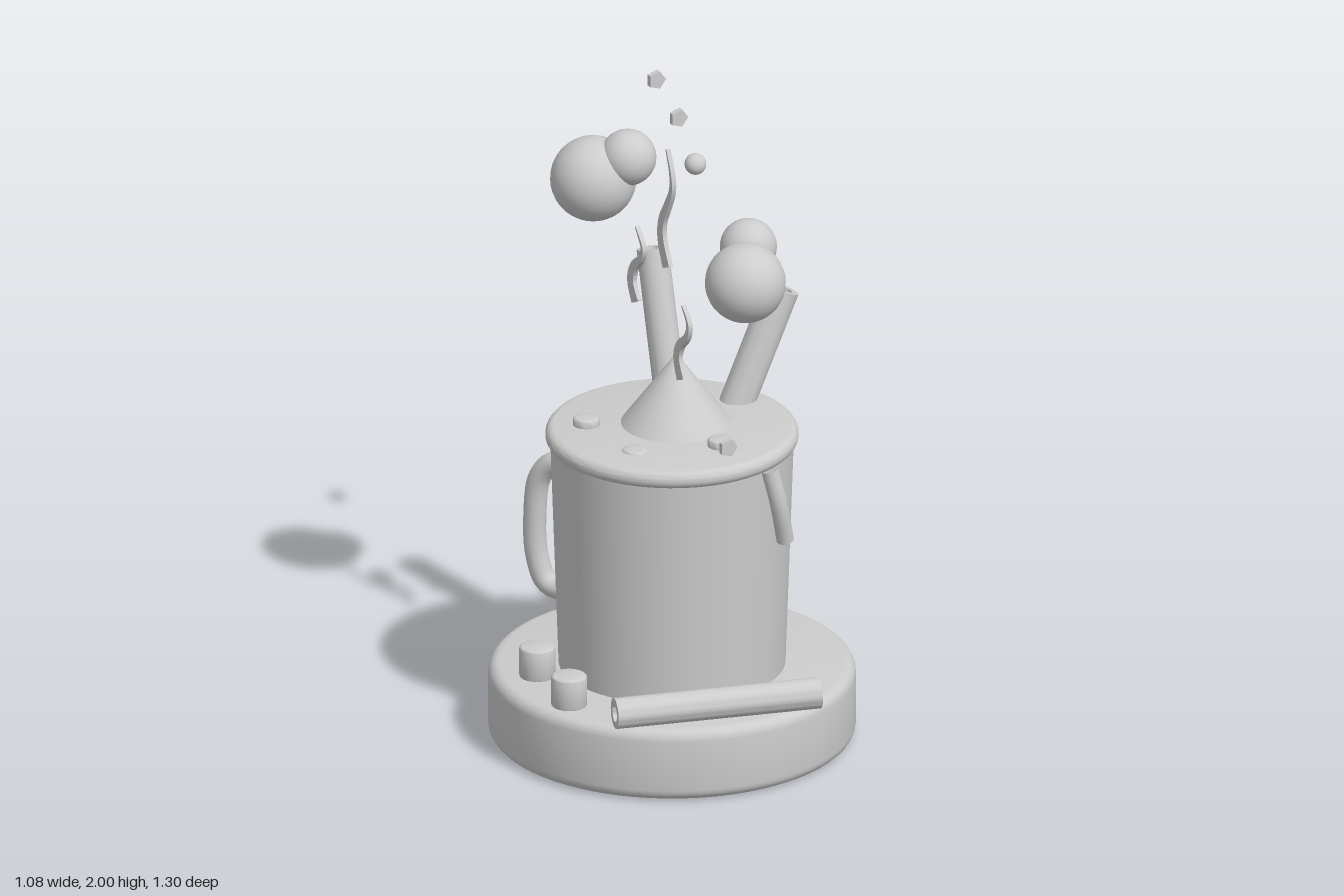
import * as THREE from 'three';
import { toCreasedNormals } from 'three/addons/utils/BufferGeometryUtils.js';

const V = (x, y, z) => new THREE.Vector3(x, y, z);

export function createModel() {
  const group = new THREE.Group();
  const clay = new THREE.MeshStandardMaterial({ color: 0xcccccc });
  clay.name = 'light grey clay';

  const add = (name, geometry, x = 0, y = 0, z = 0) => {
    const mesh = new THREE.Mesh(geometry, clay);
    mesh.name = name;
    mesh.position.set(x, y, z);
    group.add(mesh);
    return mesh;
  };

  // Solid of revolution with rounded top and bottom edges
  const roundedDisc = (r, y0, y1, bevel, sides = 64) => {
    const pts = [new THREE.Vector2(0, y0)];
    for (let i = 0; i <= 5; i++) {
      const a = -Math.PI / 2 + (i / 5) * Math.PI / 2;
      pts.push(new THREE.Vector2(r - bevel + bevel * Math.cos(a), y0 + bevel + bevel * Math.sin(a)));
    }
    for (let i = 0; i <= 5; i++) {
      const a = (i / 5) * Math.PI / 2;
      pts.push(new THREE.Vector2(r - bevel + bevel * Math.cos(a), y1 - bevel + bevel * Math.sin(a)));
    }
    pts.push(new THREE.Vector2(0, y1));
    return toCreasedNormals(new THREE.LatheGeometry(pts, sides), 0.6);
  };

  // Hollow stick between two points; gap opens a slot on its back side
  const stick = (name, from, to, r, inner, gap = 0) => {
    const s = new THREE.Shape();
    if (gap) {
      const innerGap = Math.asin(Math.min(0.95, Math.sin(gap) * r / inner));
      s.absarc(0, 0, r, gap, Math.PI * 2 - gap, false);
      s.absarc(0, 0, inner, Math.PI * 2 - innerGap, innerGap, true);
    } else {
      s.absarc(0, 0, r, 0, Math.PI * 2, false);
      s.holes.push(new THREE.Path().absarc(0, 0, inner, 0, Math.PI * 2, true));
    }
    const dir = to.clone().sub(from);
    const geo = new THREE.ExtrudeGeometry(s, { depth: dir.length(), bevelEnabled: false, curveSegments: 14 });
    dir.normalize();
    const u = V(0, 0, -1).addScaledVector(dir, dir.z).normalize();
    geo.applyMatrix4(new THREE.Matrix4().makeBasis(u, dir.clone().cross(u), dir));
    add(name, toCreasedNormals(geo, 0.6), from.x, from.y, from.z);
  };

  // Round plinth and mug
  add('base', roundedDisc(0.54, 0.005, 0.23, 0.035));
  add('mugBody', new THREE.CylinderGeometry(0.358, 0.333, 0.72, 64), 0, 0.585, 0);
  add('mugRim', roundedDisc(0.372, 0.925, 0.98, 0.026));

  // Handle, turned towards the back right
  const handlePath = [[0.31, 0.78], [0.39, 0.782], [0.44, 0.73], [0.458, 0.6],
    [0.45, 0.47], [0.415, 0.395], [0.31, 0.385]];
  add('handle', new THREE.TubeGeometry(new THREE.CatmullRomCurve3(
    handlePath.map(([d, y]) => V(-0.57 * d, y, -0.82 * d))), 40, 0.034, 14));

  // Drip running down the front
  const drip = [V(0.14, 0.945, 0.36), V(0.163, 0.84, 0.37), V(0.193, 0.71, 0.355)];
  add('drip', new THREE.TubeGeometry(new THREE.CatmullRomCurve3(drip), 20, 0.026, 14));
  const dripEnd = new THREE.CircleGeometry(0.026, 14);
  dripEnd.lookAt(V(0.03, -0.13, -0.02));
  add('dripEnd', dripEnd, 0.193, 0.71, 0.355);

  // Pointed peak of cream
  add('creamPeak', new THREE.CylinderGeometry(0.009, 0.163, 0.207, 32), 0.021, 1.083, -0.015);

  // Rolled sticks
  stick('uprightStick', V(0.1, 0.93, -0.197), V(0.1, 1.402, -0.325), 0.047, 0.028);
  stick('slottedStick', V(0.238, 0.92, -0.09), V(0.407, 1.304, -0.09), 0.052, 0.032, 0.45);
  stick('lyingStick', V(-0.381, 0.276, 0.381), V(0.225, 0.276, 0.512), 0.046, 0.026);

  // Marshmallows on the plinth
  for (const [x, z] of [[-0.404, -0.077], [-0.42, 0.162]]) {
    add('marshmallow', roundedDisc(0.053, 0.225, 0.325, 0.01, 28), x, 0, z);
  }

  // Small pieces floating on the drink
  for (const [x, top, z] of [[-0.222, 1.004, -0.117], [-0.184, 0.987, 0.124], [0.058, 1.004, 0.205]]) {
    add('floatingPiece', roundedDisc(0.04, top - 0.04, top, 0.01, 24), x, 0, z);
  }

  // Puffs of cloud and one droplet
  const puffs = [
    [0.037, 1.577, 0.404, 0.119], [0.098, 1.643, 0.303, 0.084], [0.104, 1.545, 0.267, 0.083],
    [-0.081, 1.648, -0.352, 0.127], [0.002, 1.722, -0.291, 0.084], [0.038, 1.832, 0.077, 0.032],
  ];
  for (const [x, y, z, r] of puffs) {
    add(r < 0.05 ? 'droplet' : 'cloudPuff', new THREE.SphereGeometry(r, 32, 20), x, y, z);
  }

  // Wavy steam ribbons, wide at the bottom and tapering upwards; points are [z, y]
  const ribbon = (points, width) => {
    const curve = new THREE.SplineCurve(points.map(([z, y]) => new THREE.Vector2(-z, y)));
    const left = [], right = [], n = 28;
    for (let i = 0; i <= n; i++) {
      const p = curve.getPoint(i / n), t = curve.getTangent(i / n);
      const w = width / 2 * (1 - 0.88 * i / n);
      left.push(new THREE.Vector2(p.x - t.y * w, p.y + t.x * w));
      right.unshift(new THREE.Vector2(p.x + t.y * w, p.y - t.x * w));
    }
    const geo = new THREE.ExtrudeGeometry(new THREE.Shape([...left, ...right]),
      { depth: 0.014, bevelEnabled: false });
    geo.translate(0, 0, -0.007).rotateY(Math.PI / 2);
    add('steamRibbon', toCreasedNormals(geo, 0.6), -0.02, 0, 0);
  };
  ribbon([[0.013, 1.49], [-0.022, 1.565], [-0.02, 1.625], [0.013, 1.685], [0.043, 1.745], [0.04, 1.8], [0.013, 1.866]], 0.046);
  ribbon([[0.105, 1.167], [0.08, 1.225], [0.095, 1.272], [0.14, 1.315], [0.152, 1.36], [0.115, 1.407]], 0.046);
  ribbon([[-0.19, 1.305], [-0.22, 1.36], [-0.203, 1.412], [-0.158, 1.455], [-0.146, 1.495], [-0.187, 1.545]], 0.046);

  // Five-sided confetti chips
  for (const [x, y, z] of [[0, 1.973, 0.04], [0.2, 1.853, -0.5], [-0.14, 1.175, 0.64], [0, 0.79, -0.64]]) {
    const chip = new THREE.CylinderGeometry(0.0285, 0.0285, 0.018, 5);
    chip.rotateY(Math.PI / 2).rotateX(Math.PI / 2);
    add('confettiChip', toCreasedNormals(chip, 0.5), x, y, z);
  }

  return group;
}
